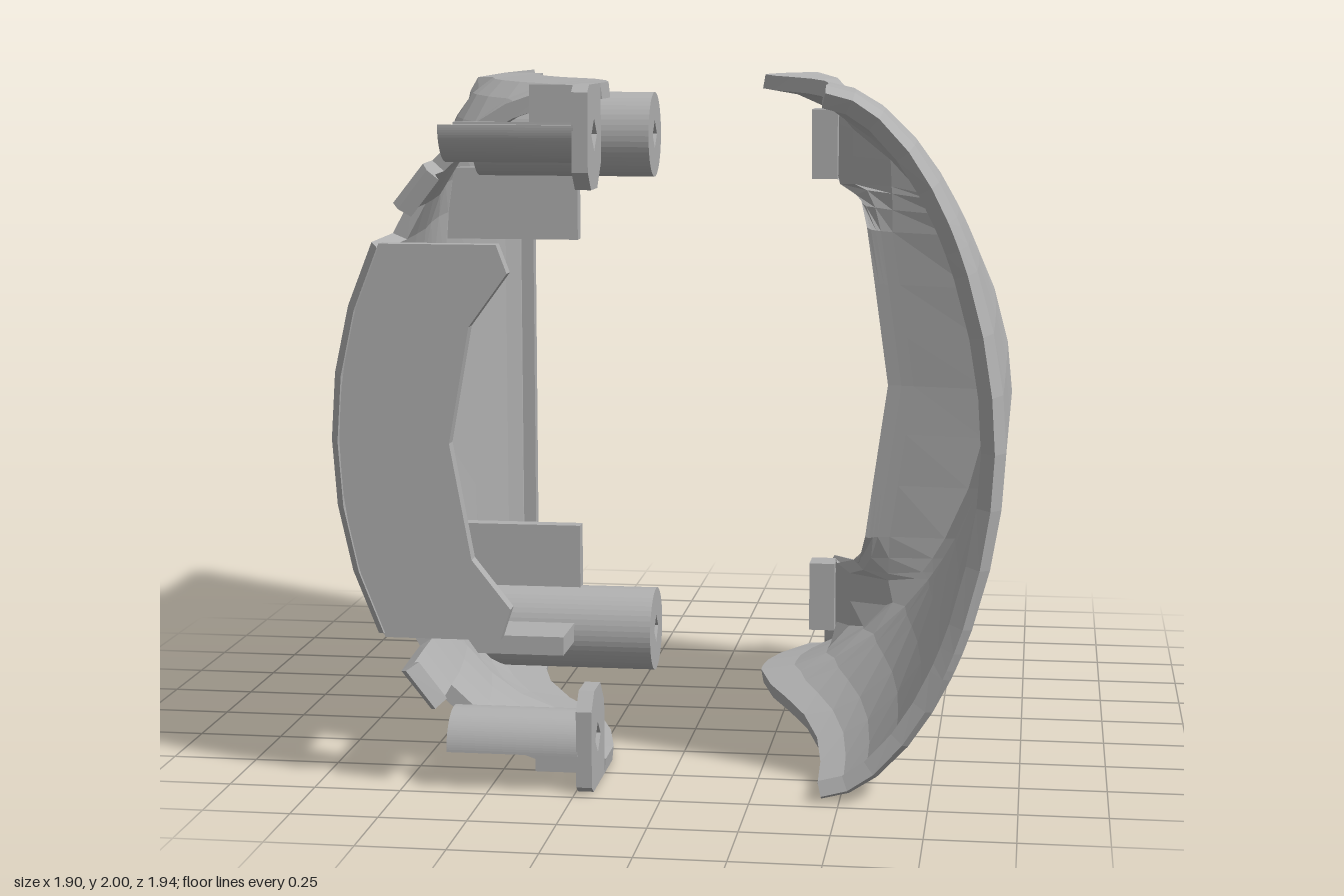
import * as THREE from 'three';

// Piecewise-linear lookup in [[key, value], ...], keys descending
function lookup(table, k) {
  if (k >= table[0][0]) return table[0][1];
  for (let i = 1; i < table.length; i++) {
    const [k1, v1] = table[i], [k0, v0] = table[i - 1];
    if (k >= k1) return v1 + (v0 - v1) * (k - k1) / (k0 - k1);
  }
  return table[table.length - 1][1];
}

// Thick faceted wall from a grid of outer points; missing cells become openings
function wall(grid, thickness, isOpen = () => false) {
  const rows = grid.length, cols = grid[0].length, count = rows * cols;
  const id = (i, j) => i * cols + j;
  const kept = (i, j) => i >= 0 && j >= 0 && i < rows - 1 && j < cols - 1 && !isOpen(i, j);
  const outer = [], all = [];
  const quad = (list, a, b, c, d) => list.push(a, b, c, a, c, d);
  for (let i = 0; i < rows - 1; i++) for (let j = 0; j < cols - 1; j++) {
    quad(outer, id(i, j), id(i + 1, j), id(i + 1, j + 1), id(i, j + 1));
    if (!kept(i, j)) continue;
    const c = [id(i, j), id(i + 1, j), id(i + 1, j + 1), id(i, j + 1)];
    const next = [[i, j - 1], [i + 1, j], [i, j + 1], [i - 1, j]];
    quad(all, ...c);
    quad(all, c[3] + count, c[2] + count, c[1] + count, c[0] + count);
    next.forEach((n, k) => {
      const p = c[k], q = c[(k + 1) % 4];
      if (!kept(...n)) quad(all, q, p, p + count, q + count);
    });
  }
  const pts = grid.flat(2);
  const skin = new THREE.BufferGeometry();
  skin.setAttribute('position', new THREE.Float32BufferAttribute(pts, 3));
  skin.setIndex(outer);
  skin.computeVertexNormals();
  const n = skin.attributes.normal.array;
  const both = pts.concat(pts.map((v, k) => v - n[k] * thickness));
  const geo = new THREE.BufferGeometry();
  geo.setAttribute('position', new THREE.Float32BufferAttribute(both, 3));
  geo.setIndex(all);
  const flat = geo.toNonIndexed();
  flat.computeVertexNormals();
  return flat;
}

// Shape given in (-z, y), extruded along x
function extrudeX(shape, x0, x1) {
  const g = new THREE.ExtrudeGeometry(shape, { depth: x1 - x0, bevelEnabled: false, curveSegments: 24 });
  return g.rotateY(Math.PI / 2).translate(x0, 0, 0);
}

function diamond(cx, cy, r) {
  return new THREE.Path([[r, 0], [0, r], [-r, 0], [0, -r]].map(([a, b]) => new THREE.Vector2(cx + a, cy + b)));
}

const arc = (dy, edge, mid, n) => edge + (mid - edge) * Math.pow(Math.max(0, 1 - Math.pow(Math.abs(dy), n)), 1 / n);
const mirrorRows = half => [...half.map(v => -v), 0, ...half.slice().reverse()];

export function createModel() {
  const group = new THREE.Group();
  const grey = new THREE.MeshStandardMaterial({ color: 0xb0b0b0 });
  const add = (parent, name, geo) => {
    const m = new THREE.Mesh(geo, grey);
    m.name = name;
    parent.add(m);
  };
  const box = (x0, x1, y0, y1, z0, z1) =>
    new THREE.BoxGeometry(x1 - x0, y1 - y0, z1 - z0).translate((x0 + x1) / 2, (y0 + y1) / 2, (z0 + z1) / 2);

  // ---- Right half: bowl at the front blending into a flat plate at the back
  const right = new THREE.Group();
  right.name = 'rightHousing';
  group.add(right);
  const rEdge = [[0.97, -0.2], [0.55, -0.2], [0.28, -0.3], [0, -0.5], [-0.25, -0.57], [-0.46, -0.6], [-0.475, -0.73], [-0.97, -0.73]];
  const rMid = [[0.97, -0.92], [0.92, -0.95], [-0.2, -0.95], [-0.46, -0.885], [-0.7, -0.825], [-0.93, -0.82], [-0.97, -0.8]];
  const rPower = [[0.97, 2], [0.2, 2.3], [-0.2, 2.9], [-0.47, 5], [-0.7, 10], [-0.97, 12]];
  const rRows = mirrorRows([1, 0.985, 0.94, 0.87, 0.78, 0.67, 0.56, 0.38, 0.19]);
  const rCols = [0.97, 0.92, 0.76, 0.62, 0.45, 0.28, 0.1, -0.1, -0.25, -0.46, -0.475, -0.7, -0.925, -0.97];
  const rGrid = rRows.map(dy => rCols.map(z =>
    [arc(dy, lookup(rEdge, z), lookup(rMid, z), lookup(rPower, z)), 1 + dy * (z === 0.97 ? 0.98 : 1), z]));
  // slots beside the front flange, and cut-outs where the screw channels run
  const openings = (i, j) => {
    const r = Math.min(i, rRows.length - 2 - i);
    return (r === 5 && j < 3) || (r < 4 && j < 2);
  };
  add(right, 'rightShell', wall(rGrid, 0.045, openings));
  add(right, 'rearRim', box(-0.8, -0.73, 0.01, 1.99, -0.968, -0.925));

  // front flange with a scooped inner edge
  const flange = new THREE.Shape();
  for (let k = 0; k <= 8; k++) {
    const dy = 0.56 - 0.14 * k;
    flange[k ? 'lineTo' : 'moveTo'](arc(dy, -0.2, -0.915, 2), 1 + dy);
  }
  [[-0.46, 0.44], [-0.43, 0.53], [-0.54, 0.67], [-0.6, 1], [-0.54, 1.33], [-0.43, 1.48], [-0.46, 1.56]]
    .forEach(([x, y]) => flange.lineTo(x, y));
  add(right, 'frontFlange', new THREE.ExtrudeGeometry(flange, { depth: 0.045, bevelEnabled: false }).translate(0, 0, 0.923));

  for (const s of [-1, 1]) {
    const side = s > 0 ? 'upper' : 'lower';
    const at = d => 1 + s * d;
    const span = (x0, x1, d0, d1, z0, z1) =>
      box(x0, x1, Math.min(at(d0), at(d1)), Math.max(at(d0), at(d1)), z0, z1);

    // screw post with pilot hole and stiffening fins
    const post = new THREE.Shape();
    post.absarc(0.265, at(0.81), 0.135, 0, Math.PI * 2);
    post.holes.push(diamond(0.265, at(0.81), 0.045));
    add(right, side + 'Post', extrudeX(post, -0.77, -0.2));
    add(right, side + 'PostCore', new THREE.CylinderGeometry(0.06, 0.06, 0.5, 12).rotateZ(Math.PI / 2).translate(-0.58, at(0.81), -0.265));
    add(right, side + 'UprightFin', span(-0.88, -0.45, 0.7, 0.47, -0.3, -0.25));
    add(right, side + 'FlatFin', span(-0.76, -0.45, 0.83, 0.77, -0.14, 0.06));

    // front lug: end plate with a hole
    const lug = new THREE.Shape([[-0.97, 0.98], [-0.94, 1], [-0.755, 1], [-0.755, 0.78], [-0.82, 0.71], [-0.92, 0.71], [-0.97, 0.76]]
      .map(([a, d]) => new THREE.Vector2(a, at(d))));
    lug.holes.push(diamond(-0.865, at(0.86), 0.045));
    add(right, side + 'LugPlate', extrudeX(lug, -0.245, -0.2));

    // screw channel: half-round trough open to the outside
    const trough = new THREE.Shape();
    const a0 = s > 0 ? Math.PI : 0, a1 = a0 + Math.PI;
    trough.absarc(-0.863, at(0.89), 0.108, a0, a1, false);
    trough.absarc(-0.863, at(0.89), 0.085, a1, a0, true);
    add(right, side + 'ScrewChannel', extrudeX(trough, -0.62, -0.24));
    // side wall joining the trough to the rim of the shell
    add(right, side + 'ChannelWall', span(-0.4, -0.24, 0.89, 0.995, 0.755, 0.778));
  }

  // ---- Left half: curved cover with a waisted back and two rear tabs
  const left = new THREE.Group();
  left.name = 'leftCover';
  group.add(left);
  const lEdge = [[0.97, 0.45], [0.55, 0.43], [0.15, 0.33], [-0.15, 0.2], [-0.35, 0.145], [-0.45, 0.15], [-0.6, 0.2], [-0.72, 0.28]];
  const lMid = [[0.97, 0.92], [0.92, 0.95], [-0.27, 0.95], [-0.34, 0.89]];
  const tabReach = [[0.645, 1], [0.62, 0.42], [0.57, 0.14], [0.5, 0]];
  const lRows = mirrorRows([1, 0.98, 0.93, 0.84, 0.74, 0.645, 0.62, 0.57, 0.5, 0.33, 0.16]).reverse();
  const lCols = [0.97, 0.92, 0.7, 0.45, 0.2, 0, -0.15, -0.27, -0.34];
  const lGrid = lRows.map(dy => {
    const x = z => arc(dy, lookup(lEdge, z), lookup(lMid, z), 1.8);
    const row = lCols.map(z => [x(z), 1 + dy * (z === 0.97 ? 0.98 : 1), z]);
    const w = lookup(tabReach, Math.abs(dy)), waist = 0.14 * Math.min(0.5, Math.abs(dy));
    const mix = (a, b) => a + (b - a) * w;
    for (const [z, limit] of [[-0.385, mix(0.64 - waist, 0.58)], [mix(-0.392, -0.47), mix(0.6 - waist, 0.46)],
      [mix(-0.394, -0.57), mix(0.585 - waist, 0.415)], [mix(-0.396, -0.68), mix(0.57 - waist, 0.4)],
      [mix(-0.398, -0.725), mix(0.555 - waist, 0.35)]])
      row.push([Math.min(x(z), limit), 1 + dy, z]);
    return row;
  });
  add(left, 'leftShell', wall(lGrid, 0.045));
  for (const s of [-1, 1])
    add(left, s > 0 ? 'upperTab' : 'lowerTab', box(0.275, 0.36, 1 + s * 0.765 - 0.115, 1 + s * 0.765 + 0.115, -0.7, -0.6));

  return group;
}
